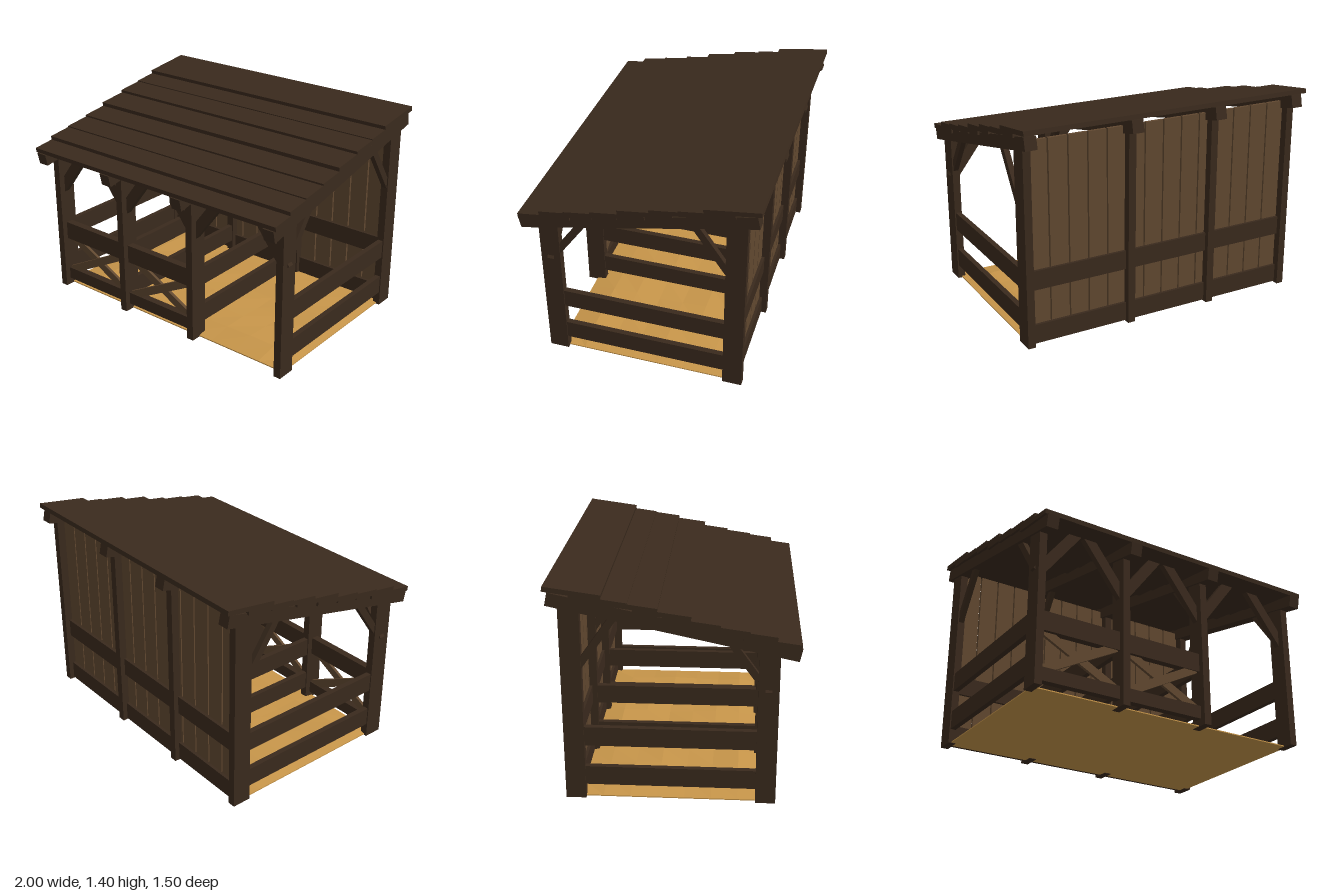
import * as THREE from 'three';

const mat = (color) => new THREE.MeshStandardMaterial({ color, flatShading: true });

export function createModel() {
  const root = new THREE.Group();
  const dark = mat(0x3a2a1d), light = mat(0x614830), strawMat = mat(0xc8964a);

  const box = (name, m, size, pos, rx = 0, rz = 0) => {
    const mesh = new THREE.Mesh(new THREE.BoxGeometry(...size), m);
    mesh.name = name;
    mesh.position.set(...pos);
    mesh.rotation.set(rx, 0, rz);
    root.add(mesh);
    return mesh;
  };

  const frames = [-0.945, -0.35, 0.25, 0.95];
  const frontZ = 0.567, backZ = -0.607;

  // Four cross frames: posts, sloping rafter, side rails and knee braces
  frames.forEach((x) => {
    box('frontPost', dark, [0.05, 1.05, 0.125], [x, 0.525, frontZ]);
    box('backPost', dark, [0.05, 1.29, 0.125], [x, 0.645, backZ]);
    box('rafter', dark, [0.078, 0.082, 1.51], [x, 1.162, 0.007], 0.21);
    for (const y of [0.427, 0.157]) box('sideRail', dark, [0.035, 0.125, 1.07], [x, y, -0.02]);
    box('frontKneeBrace', dark, [0.035, 0.045, 0.38], [x, 0.952, 0.42], 0.95);
    box('backKneeBrace', dark, [0.035, 0.045, 0.44], [x, 1.052, -0.452], -0.97);
  });

  // Each bay: back rails, front braces, and a cross-braced fence in all but the open bay
  for (let i = 0; i < 3; i++) {
    const a = frames[i], b = frames[i + 1], mid = (a + b) / 2, w = b - a;
    box('backRail', dark, [w, 0.125, 0.06], [mid, 0.427, backZ]);
    box('backSill', dark, [w, 0.125, 0.06], [mid, 0.07, backZ]);
    for (const [x, s] of [[a, 1], [b, -1]]) {
      box('frontBrace', dark, [0.45, 0.07, 0.04], [x + s * 0.127, 0.915, frontZ], 0, s * 0.92);
    }
    if (i === 2) continue;
    box('frontRail', dark, [w, 0.125, 0.05], [mid, 0.427, frontZ]);
    box('frontSill', dark, [w, 0.085, 0.05], [mid, 0.088, frontZ]);
    for (const s of [1, -1]) {
      box('crossBrace', light, [0.56, 0.055, 0.02], [mid, 0.25, frontZ + s * 0.008], 0, s * 0.48);
    }
  }

  // Back wall of upright boards with narrow gaps
  const boards = 14, pitch = 1.85 / boards;
  for (let i = 0; i < boards; i++) {
    box('wallBoard', light, [pitch - 0.01, 1.28, 0.022], [-0.925 + pitch * (i + 0.5), 0.66, backZ]);
  }

  // Overlapping roof planks, given by the upper front edge of each
  const edges = [[0.75, 1.075], [0.61, 1.12], [0.45, 1.15], [0.28, 1.185],
    [0.11, 1.235], [-0.085, 1.28], [-0.26, 1.31], [-0.41, 1.355]];
  const tilt = 0.135, len = 0.34, thick = 0.03;
  for (const [z, y] of edges) {
    box('roofPlank', dark, [2, thick, len], [0,
      y + Math.sin(tilt) * len / 2 - Math.cos(tilt) * thick / 2,
      z - Math.cos(tilt) * len / 2 - Math.sin(tilt) * thick / 2], tilt);
  }

  // Uneven straw bed, thin at its rim
  const straw = new THREE.BoxGeometry(1.9, 0.02, 1.17, 10, 1, 7);
  const p = straw.attributes.position;
  for (let i = 0; i < p.count; i++) {
    const x = p.getX(i), z = p.getZ(i);
    if (p.getY(i) < 0) { p.setY(i, 0.003); continue; }
    const rim = Math.abs(x) > 0.94 || Math.abs(z) > 0.58;
    const n = Math.sin(x * 127.1 + z * 311.7) * 0.5 + 0.5;
    p.setY(i, rim ? 0.01 : 0.028 + 0.014 * n);
  }
  straw.computeVertexNormals();
  const bed = new THREE.Mesh(straw, strawMat);
  bed.name = 'strawBed';
  bed.position.z = -0.02;
  root.add(bed);

  return root;
}
